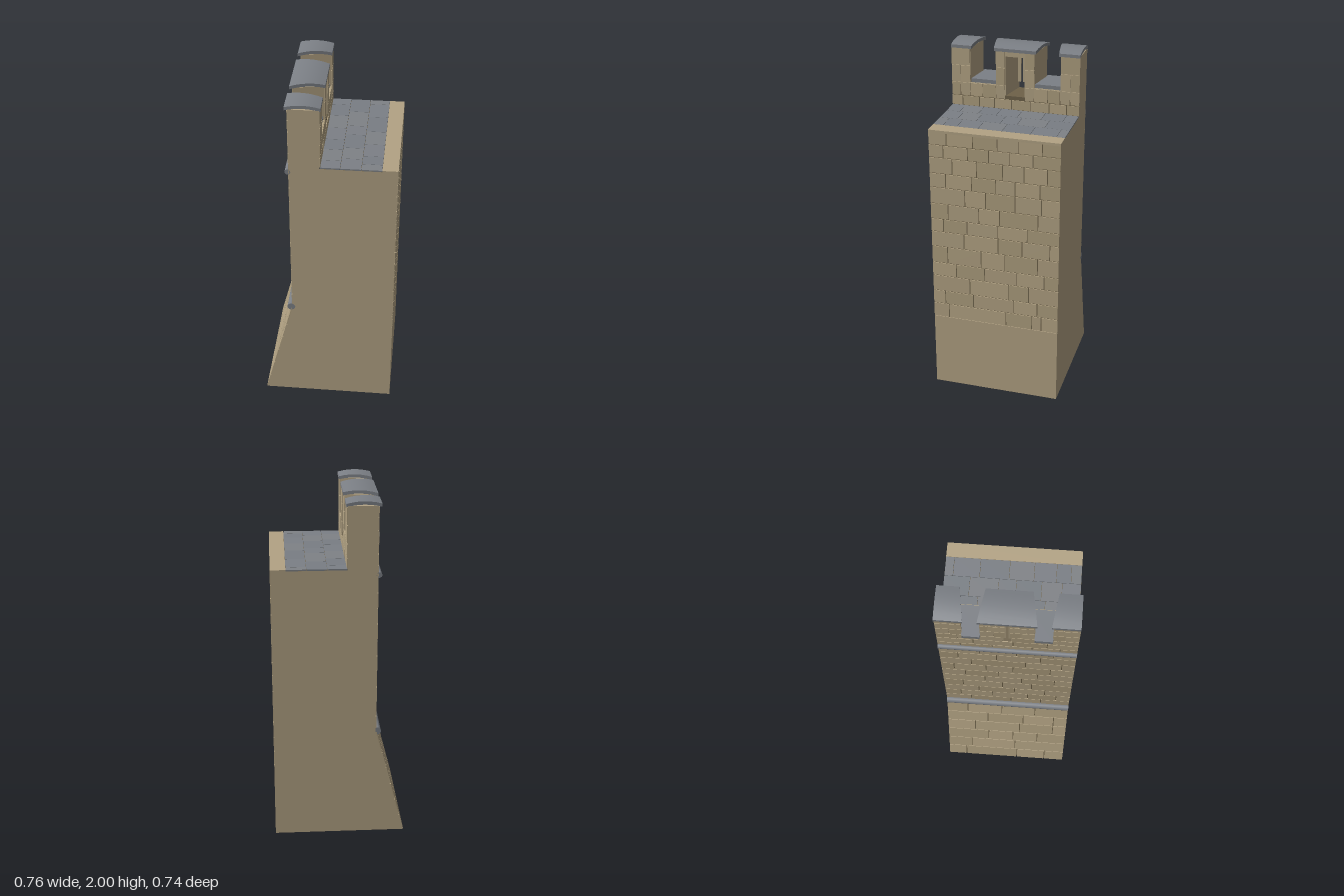
import * as THREE from 'three';
import { mergeGeometries } from 'three/addons/utils/BufferGeometryUtils.js';

const Z = 0.372;            // half the length of the wall section
const GAP = 0.005;          // width of the joints
const mat = (c) => new THREE.MeshStandardMaterial({ color: c });

export function createModel() {
  const root = new THREE.Group();
  const stone = mat(0xb3a384), mortar = mat(0x6e6249), slate = mat(0x7c8086);
  const stones = [stone, mat(0xb6a686), mat(0xaf9f7f)];
  const slates = [slate, mat(0x797e84), mat(0x7f8286)];

  const add = (name, geo, material, parent = root) => {
    const m = new THREE.Mesh(geo, material);
    m.name = name;
    parent.add(m);
    return m;
  };
  const box = (x0, x1, y0, y1, z0, z1) =>
    new THREE.BoxGeometry(x1 - x0, y1 - y0, z1 - z0).translate((x0 + x1) / 2, (y0 + y1) / 2, (z0 + z1) / 2);

  // Upright prism from an outline of [x, z] points
  const prism = (pts, y0, y1) =>
    new THREE.ExtrudeGeometry(new THREE.Shape(pts.map(([x, z]) => new THREE.Vector2(x, -z))),
      { depth: y1 - y0, bevelEnabled: false }).rotateX(-Math.PI / 2).translate(0, y0, 0);
  // Wall piece whose ends splay: a = [outer z, inner z], b likewise
  const XO = -0.205, XI = -0.043;
  const splay = (a, b, y0, y1, s = 1, xo = XO, xi = XI) =>
    prism([[xo, s * a[0]], [xi, s * a[1]], [xi, s * b[1]], [xo, s * b[0]]], y0, y1);

  // Courses of facing stones; face(y) gives x of the wall behind, side is the way it faces
  const courses = (name, rows, face, side, depth = 0.005) => {
    const sets = stones.map(() => []);
    let n = 0;
    for (const [y0, y1, ...zs] of rows) {
      for (let i = 0; i < zs.length - 1; i++) {
        const a = zs[i] + (Math.abs(zs[i]) < Z ? GAP / 2 : 0);
        const b = zs[i + 1] - (Math.abs(zs[i + 1]) < Z ? GAP / 2 : 0);
        const g = box(0, depth, y0 + GAP / 2, y1 - GAP / 2, a, b);
        if (side < 0) g.translate(-depth, 0, 0);
        const p = g.attributes.position;
        for (let k = 0; k < p.count; k++) p.setX(k, p.getX(k) + face(p.getY(k)));
        g.computeVertexNormals();
        sets[(n++ * 2 + rows.length) % 3].push(g);
      }
    }
    const grp = new THREE.Group();
    grp.name = name;
    sets.forEach((s, i) => s.length && add(name + 'Stones' + i, mergeGeometries(s), stones[i], grp));
    root.add(grp);
  };
  // Turn course heights and joint lists into rows
  const rowsOf = (ys, joints) => joints.map((j, i) => [ys[i], ys[i + 1], -Z, ...j, Z]);

  // Core: battered foot, wall body, walkway and low parapet
  const profile = new THREE.Shape([[-0.374, 0], [0.372, 0], [0.372, 1.622], [XI, 1.622], [XI, 1.71],
    [XO, 1.71], [XO, 0.655]].map(([x, y]) => new THREE.Vector2(x, y)));
  add('wallCore', new THREE.ExtrudeGeometry(profile, { depth: 2 * Z, bevelEnabled: false }).translate(0, 0, -Z),
    [stone, mortar]);
  add('underside', box(-0.374, 0.377, 0, 0.002, -Z + 0.001, Z - 0.001).translate(0, -0.001, 0), mat(0x353535));
  add('plainFoot', box(0.371, 0.377, 0, 0.455, -Z, Z), stone);
  add('walkwayEdge', box(0.292, 0.377, 1.615, 1.63, -Z, Z), stone);

  // Inner face of the wall
  courses('innerWall', rowsOf(
    [0.455, 0.545, 0.63, 0.73, 0.815, 0.92, 1.015, 1.095, 1.19, 1.29, 1.375, 1.47, 1.545, 1.63], [
      [-0.275, -0.22, -0.065, 0.28], [-0.25, -0.11, 0.13, 0.3], [-0.2, -0.08, 0.15],
      [-0.29, -0.13, 0.06, 0.23], [-0.25, -0.06, 0.08, 0.28], [-0.32, -0.16, -0.02, 0.18],
      [-0.19, -0.02, 0.16, 0.3], [-0.25, -0.03, 0.09, 0.27], [-0.27, -0.12, 0.05, 0.17],
      [-0.26, -0.12, -0.01, 0.13, 0.28], [-0.3, -0.17, -0.05, 0.1, 0.24],
      [-0.22, -0.09, 0.03, 0.15, 0.29], [-0.27, -0.14, -0.02, 0.12, 0.27]]), () => 0.372, 1);

  // Outer face, upright part
  courses('outerWall', rowsOf(
    [0.67, 0.75, 0.84, 0.93, 1.03, 1.12, 1.21, 1.31, 1.4, 1.49, 1.58, 1.645, 1.71], [
      [-0.22, 0.02, 0.2], [-0.28, -0.09, 0.12, 0.29], [-0.17, 0.04, 0.22], [-0.26, -0.03, 0.14],
      [-0.13, 0.08, 0.27], [-0.24, -0.05, 0.17], [-0.3, -0.12, 0.03, 0.24], [-0.2, 0.1, 0.3],
      [-0.27, -0.06, 0.18], [-0.15, 0.05, 0.25], [-0.25, -0.08, 0.13, 0.28], [-0.18, 0.03, 0.21]]),
    () => XO, -1);

  // Outer face, battered foot
  courses('batteredFoot', rowsOf([0, 0.1, 0.205, 0.31, 0.415, 0.515, 0.65], [
    [-0.26, 0.07, 0.25], [-0.22, 0.055], [-0.115, 0.04, 0.195], [-0.2, 0.08, 0.29],
    [-0.12, 0.1, 0.29], [-0.245, -0.035, 0.17]]),
    (y) => -0.374 + 0.169 * y / 0.655, -1, 0.006);

  // String courses along the outer face
  for (const [name, y, r] of [['lowerMoulding', 0.655, 0.023], ['upperMoulding', 1.592, 0.016]]) {
    add(name, new THREE.CylinderGeometry(r, r, 2 * Z, 16).rotateX(Math.PI / 2).translate(-0.214, y, 0), slate);
  }

  // Walkway paving in three strips
  const strips = [
    [-0.043, 0.067, -0.303, -0.18, -0.043, 0.079, 0.184, 0.295],
    [0.067, 0.18, -0.23, -0.073, 0.022, 0.16, 0.27],
    [0.18, 0.292, -0.325, -0.18, -0.02, 0.115, 0.236, 0.316]];
  strips.forEach(([x0, x1, ...zs], s) => {
    const ends = [-Z, ...zs, Z];
    for (let i = 0; i < ends.length - 1; i++)
      add('walkwaySlab', box(x0 + 0.001, x1 - 0.001, 1.615, 1.63, ends[i] + 0.001, ends[i + 1] - 0.001),
        slates[(i + s) % 3]);
  });

  // Parapet, mirrored about the middle: arrow slit, splayed gap, end merlon
  const slit = [0.02, 0.055], mid = [0.143, 0.113], end = [0.236, 0.262], tip = [Z, Z];
  const capMid = [0.152, 0.121], capEnd = [0.225, 0.253];
  for (const s of [1, -1]) {
    add('parapetBase', splay(slit, tip, 1.71, 1.77, s), stone);
    add('middleMerlon', splay(slit, mid, 1.77, 1.975, s), stone);
    add('endMerlon', splay(end, tip, 1.77, 1.975, s), stone);
    add('gapSill', splay(mid, end, 1.768, 1.792, s, -0.226, -0.05), slate);
    add('slitJamb', prism([[XO, s * 0.007], [-0.185, s * 0.007], [-0.185, s * 0.025], [XO, s * 0.022]],
      1.75, 1.945), stone);
  }
  add('slitLintel', splay([-0.02, -0.055], slit, 1.94, 1.975), stone);

  // Facing stones of the parapet, both sides
  const mirrorRows = (rows) => rows.flatMap((r) => [r, [r[0], r[1], ...r.slice(2).map((z) => -z).reverse()]]);
  courses('parapetInner', [
    [1.63, 1.69, -Z, -0.3, -0.2, -0.09, 0.02, 0.12, 0.21, 0.31, Z].map((v) => v),
    ...mirrorRows([
      [1.69, 1.77, 0.057, 0.11, 0.19, 0.262, 0.32, Z], [1.77, 1.875, 0.057, 0.113],
      [1.875, 1.972, 0.057, 0.113], [1.77, 1.87, 0.262, 0.32, Z], [1.87, 1.972, 0.262, Z]])],
    () => XI, 1);
  courses('parapetOuter', mirrorRows([
    [1.71, 1.77, 0.022, 0.16, 0.26, Z], [1.77, 1.84, 0.012, 0.07, 0.143], [1.84, 1.91, 0.012, 0.1, 0.143],
    [1.91, 1.972, 0.012, 0.06, 0.143], [1.77, 1.84, 0.236, 0.3, Z], [1.84, 1.91, 0.236, Z],
    [1.91, 1.972, 0.236, 0.29, Z]]), () => XO, -1);

  // Arched coping stones; a and b are [outer z, inner z] of each end
  const cap = (a, b) => {
    const w = 0.19, g = new THREE.BoxGeometry(w, 0.018, 1, 6, 1, 1), p = g.attributes.position;
    for (let i = 0; i < p.count; i++) {
      const t = p.getX(i) / w + 0.5, e = p.getZ(i) > 0 ? b : a;
      p.setXYZ(i, -0.224 + w * t, 1.978 + p.getY(i) + 0.013 * (1 - (2 * t - 1) ** 2), e[0] + (e[1] - e[0]) * t);
    }
    g.computeVertexNormals();
    return g;
  };
  const neg = (e) => e.map((v) => -v);
  add('middleCoping', cap(neg(capMid), capMid), slate);
  add('leftCoping', cap(capEnd, tip), slate);
  add('rightCoping', cap(neg(tip), neg(capEnd)), slate);

  return root;
}
